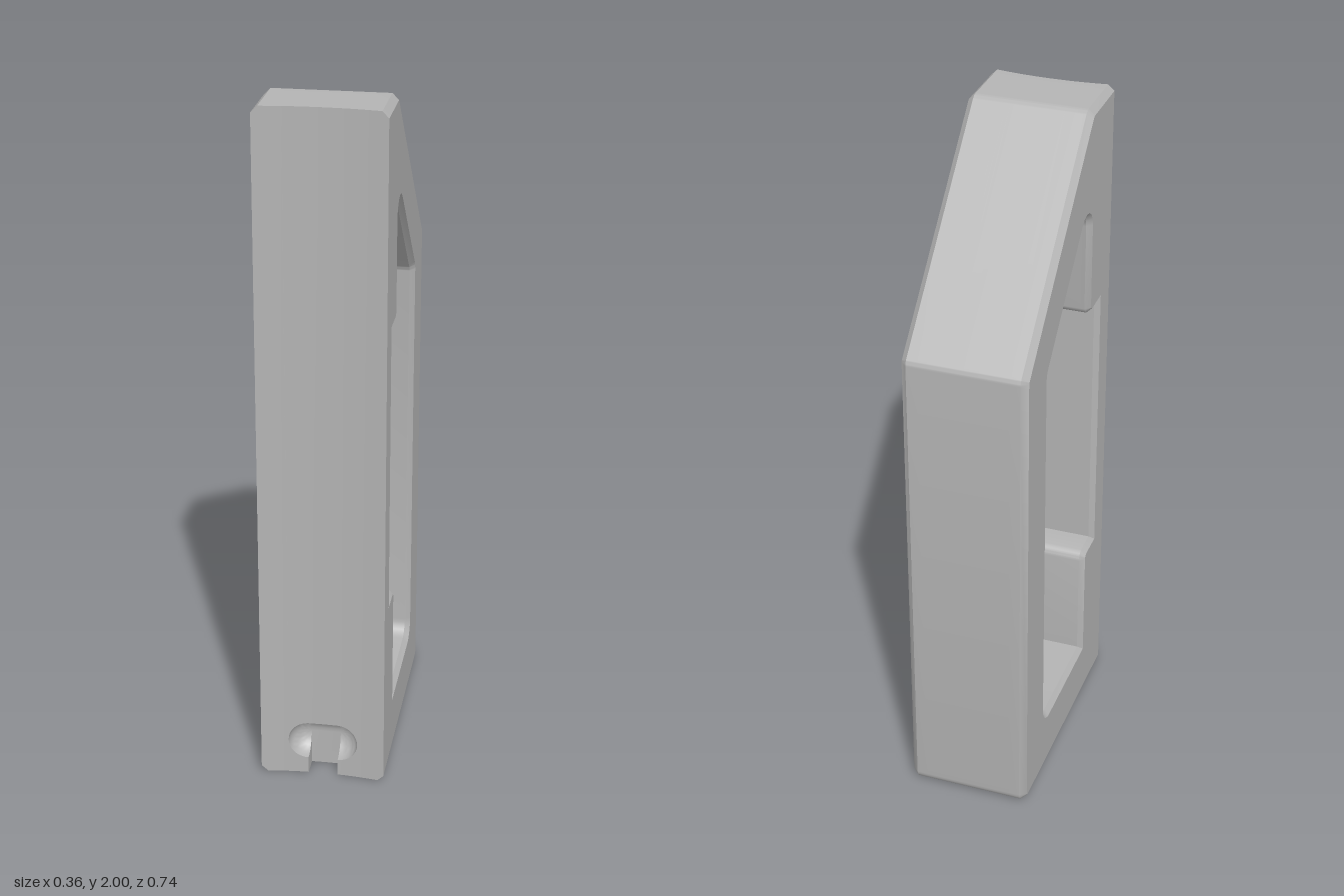
import * as THREE from 'three';
import { toCreasedNormals } from 'three/addons/utils/BufferGeometryUtils.js';

const HALF = 0.18, BEVEL = 0.018, HOLE_BEVEL = 0.015;
const SLOT_H = 0.043, SLOT_R = 0.058, SLOT_Y = 0.108;

// The front is a shallow hollow curve across the width.
const frontZ = x => 0.355 + 0.015 * (x / HALF) ** 2;

// Side profiles as [u, y, corner radius] with u = -z; material lies to the left.
const OUTER = [[-0.37, 0, 0], [0.37, 0, 0.03], [0.37, 1.455, 0.03], [-0.178, 2, 0.03], [-0.37, 2, 0]];
const HOLE = [
  [-0.18, 0.185, 0], [-0.18, 0.545, 0.03], [-0.275, 0.545, 0], [-0.275, 1.37, 0],
  [-0.18, 1.37, 0.03], [-0.18, 1.755, 0.042], [0.19, 1.385, 0.03], [0.19, 0.185, 0.045],
];

// Offset a profile into the material by d and round its corners.
function roundedLoop(corners, d, fixedLast) {
  const n = corners.length;
  const edges = corners.map((c, i) => {
    const e = corners[(i + 1) % n];
    const len = Math.hypot(e[0] - c[0], e[1] - c[1]);
    const tx = (e[0] - c[0]) / len, ty = (e[1] - c[1]) / len;
    const off = fixedLast && i === n - 1 ? 0 : d;
    return { tx, ty, c: -ty * c[0] + tx * c[1] + off };
  });
  const pts = [];
  corners.forEach(([, , r], i) => {
    const a = edges[(i + n - 1) % n], b = edges[i];
    const turn = a.tx * b.ty - a.ty * b.tx;
    const px = (b.tx * a.c - a.tx * b.c) / turn;
    const py = (b.ty * a.c - a.ty * b.c) / turn;
    if (!r) { pts.push(new THREE.Vector2(px, py)); return; }
    const s = Math.sign(turn);
    const R = Math.max(0.004, r - s * d);
    const angle = Math.atan2(turn, a.tx * b.tx + a.ty * b.ty);
    const back = R * Math.tan(Math.abs(angle) / 2);
    const cx = px - a.tx * back - a.ty * s * R, cy = py - a.ty * back + a.tx * s * R;
    const start = Math.atan2(-a.tx * s, a.ty * s);
    for (let k = 0; k <= 6; k++) {
      const t = start + angle * k / 6;
      pts.push(new THREE.Vector2(cx + R * Math.cos(t), cy + R * Math.sin(t)));
    }
  });
  return pts;
}

// Small triangle collector
function builder() {
  const p = [];
  const tri = (a, b, c) => p.push(...a, ...b, ...c);
  const quad = (a, b, c, d) => { tri(a, b, c); tri(a, c, d); };
  const mesh = (name, material) => {
    const g = new THREE.BufferGeometry();
    g.setAttribute('position', new THREE.Float32BufferAttribute(p, 3));
    const m = new THREE.Mesh(toCreasedNormals(g, 0.5), material);
    m.name = name;
    return m;
  };
  return { tri, quad, mesh };
}

// Stations across the width, lined up with the slot outline
function stations() {
  const half = [0.13, HALF - BEVEL, HALF];
  for (let j = 0; j <= 8; j++) half.push(SLOT_H + SLOT_R * Math.sin(j * Math.PI / 16));
  return [...half.map(x => -x), 0, ...half].sort((a, b) => a - b);
}

export function createModel() {
  const group = new THREE.Group();
  group.name = 'handleBlock';
  const grey = new THREE.MeshStandardMaterial({ color: 0xb4b4b4 });
  grey.name = 'grey';
  const xs = stations();
  const inNeck = (a, b) => Math.abs(a + b) / 2 < SLOT_H;

  const outerMid = roundedLoop(OUTER, 0, true), outerEnd = roundedLoop(OUTER, BEVEL, true);
  const holeMid = roundedLoop(HOLE, 0), holeEnd = roundedLoop(HOLE, HOLE_BEVEL);

  // Outer skin with bevelled side edges; the front edge is left open
  const skin = builder();
  const last = outerMid.length - 1;
  for (let k = 0; k + 1 < xs.length; k++) {
    const neck = inNeck(xs[k], xs[k + 1]);
    const at = (x, i) => {
      const p = (Math.abs(x) > HALF - 1e-6 ? outerEnd : outerMid)[i];
      let z = -p.x;
      if (i === 0 || i === last) z = frontZ(x) - (neck && i === 0 ? SLOT_R : 0);
      return [x, p.y, z];
    };
    for (let i = 0; i < last; i++)
      skin.quad(at(xs[k], i), at(xs[k], i + 1), at(xs[k + 1], i + 1), at(xs[k + 1], i));
  }
  group.add(skin.mesh('outerShell', grey));

  // Walls of the hand opening
  const hole = builder();
  const hx = [[-HALF, holeEnd], [-HALF + HOLE_BEVEL, holeMid], [HALF - HOLE_BEVEL, holeMid], [HALF, holeEnd]];
  for (let k = 0; k < 3; k++) {
    const at = (j, i) => {
      const [x, loop] = hx[j], p = loop[i % loop.length];
      return [x, p.y, -p.x];
    };
    for (let i = 0; i < holeMid.length; i++)
      hole.quad(at(k, i), at(k, i + 1), at(k + 1, i + 1), at(k + 1, i));
  }
  group.add(hole.mesh('handOpening', grey));

  // Flat sides
  const all = [...outerEnd, ...holeEnd];
  const faces = THREE.ShapeUtils.triangulateShape([...outerEnd], [[...holeEnd]]);
  for (const side of [1, -1]) {
    const cap = builder();
    for (const f of faces) {
      const [a, b, c] = f.map(i => [side * HALF, all[i].y, -all[i].x]);
      if (side > 0) cap.tri(a, b, c); else cap.tri(a, c, b);
    }
    group.add(cap.mesh(side > 0 ? 'leftSide' : 'rightSide', grey));
  }

  // Hollow front face, in columns around the slot
  const front = builder();
  const chamfer = x => Math.max(0, Math.abs(x) - (HALF - BEVEL));
  const low = x => chamfer(x), high = x => 2 - chamfer(x);
  const rise = x => Math.sqrt(Math.max(0, SLOT_R ** 2 - Math.max(0, Math.abs(x) - SLOT_H) ** 2));
  for (let k = 0; k + 1 < xs.length; k++) {
    const a = xs[k], b = xs[k + 1];
    const column = (y0, y1) => front.quad(
      [a, y0(a), frontZ(a)], [b, y0(b), frontZ(b)], [b, y1(b), frontZ(b)], [a, y1(a), frontZ(a)]);
    if (Math.abs(a + b) / 2 > SLOT_H + SLOT_R) { column(low, high); continue; }
    column(x => SLOT_Y + rise(x), high);
    if (!inNeck(a, b)) column(low, x => SLOT_Y - rise(x));
  }
  group.add(front.mesh('frontFace', grey));

  // Rounded pocket of the mounting slot
  const slot = builder();
  const ring = k => {
    const t = k * Math.PI / 16, r = SLOT_R * Math.cos(t), pts = [];
    for (const s of [1, -1]) for (let j = 0; j <= 16; j++) {
      const phi = (s > 0 ? -Math.PI / 2 : Math.PI / 2) + j * Math.PI / 16;
      const x = s * SLOT_H + r * Math.cos(phi);
      pts.push([x, SLOT_Y + r * Math.sin(phi), frontZ(x) - SLOT_R * Math.sin(t)]);
    }
    return pts;
  };
  for (let k = 0; k < 8; k++) {
    const a = ring(k), b = ring(k + 1);
    for (let i = 0; i + 1 < a.length; i++) slot.quad(a[i], a[i + 1], b[i + 1], b[i]);
  }

  // Neck of the slot, open at the bottom
  for (const [a, b] of [[-SLOT_H, 0], [0, SLOT_H]]) {
    const za = frontZ(a) - SLOT_R, zb = frontZ(b) - SLOT_R;
    slot.quad([a, 0, za], [b, 0, zb], [b, SLOT_Y, zb], [a, SLOT_Y, za]);
  }
  for (const x of [-SLOT_H, SLOT_H]) for (let k = 0; k < 8; k++) {
    const at = (j, top) => {
      const t = j * Math.PI / 16;
      return [x, top ? SLOT_Y - SLOT_R * Math.cos(t) : 0, frontZ(x) - SLOT_R * Math.sin(t)];
    };
    const q = [at(k, 0), at(k + 1, 0), at(k + 1, 1), at(k, 1)];
    slot.quad(...(x < 0 ? q : q.reverse()));
  }
  group.add(slot.mesh('mountingSlot', grey));
  return group;
}
